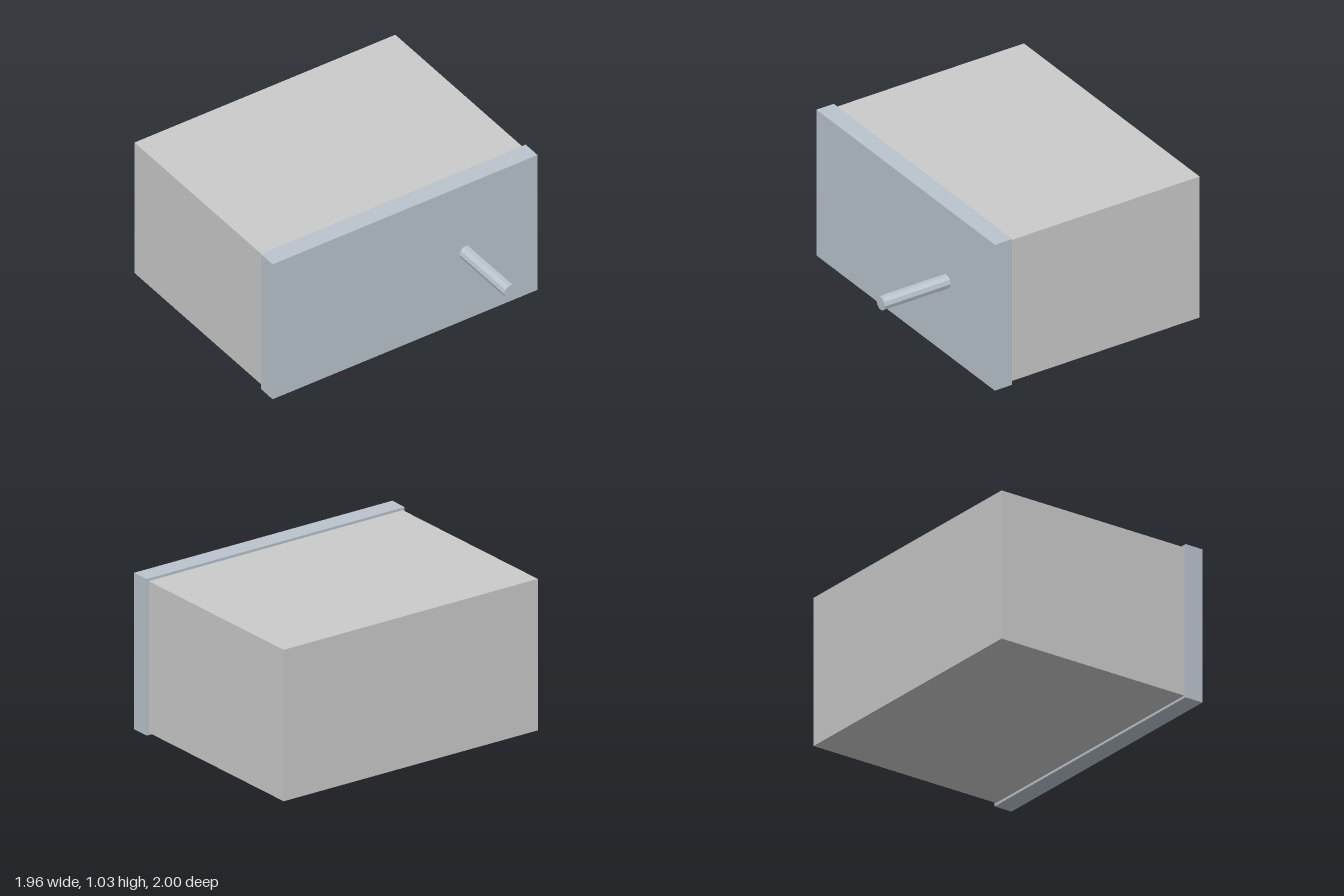
import * as THREE from 'three';

export function createModel() {
  const model = new THREE.Group();
  const grey = new THREE.MeshStandardMaterial({ color: 0xcccccc, flatShading: true });
  const blueGrey = new THREE.MeshStandardMaterial({ color: 0xbbc5ce, flatShading: true });

  const add = (name, geometry, material, x, y, z) => {
    const mesh = new THREE.Mesh(geometry, material);
    mesh.name = name;
    mesh.position.set(x, y, z);
    model.add(mesh);
  };

  // Main box, set slightly inside the outline of the front panel
  add('body', new THREE.BoxGeometry(1.934, 1, 1.39), grey, 0, 0.517, -0.305);

  // Overlapping front panel
  add('frontPanel', new THREE.BoxGeometry(1.964, 1.034, 0.128), blueGrey, 0, 0.517, 0.452);

  // Ten-sided rod standing out of the panel, with corners on its horizontal axis
  const rod = new THREE.CylinderGeometry(0.047, 0.047, 0.484, 10, 1, false, Math.PI / 2);
  rod.rotateX(Math.PI / 2);
  add('handleRod', rod, blueGrey, 0.45, 0.517, 0.758);

  return model;
}
